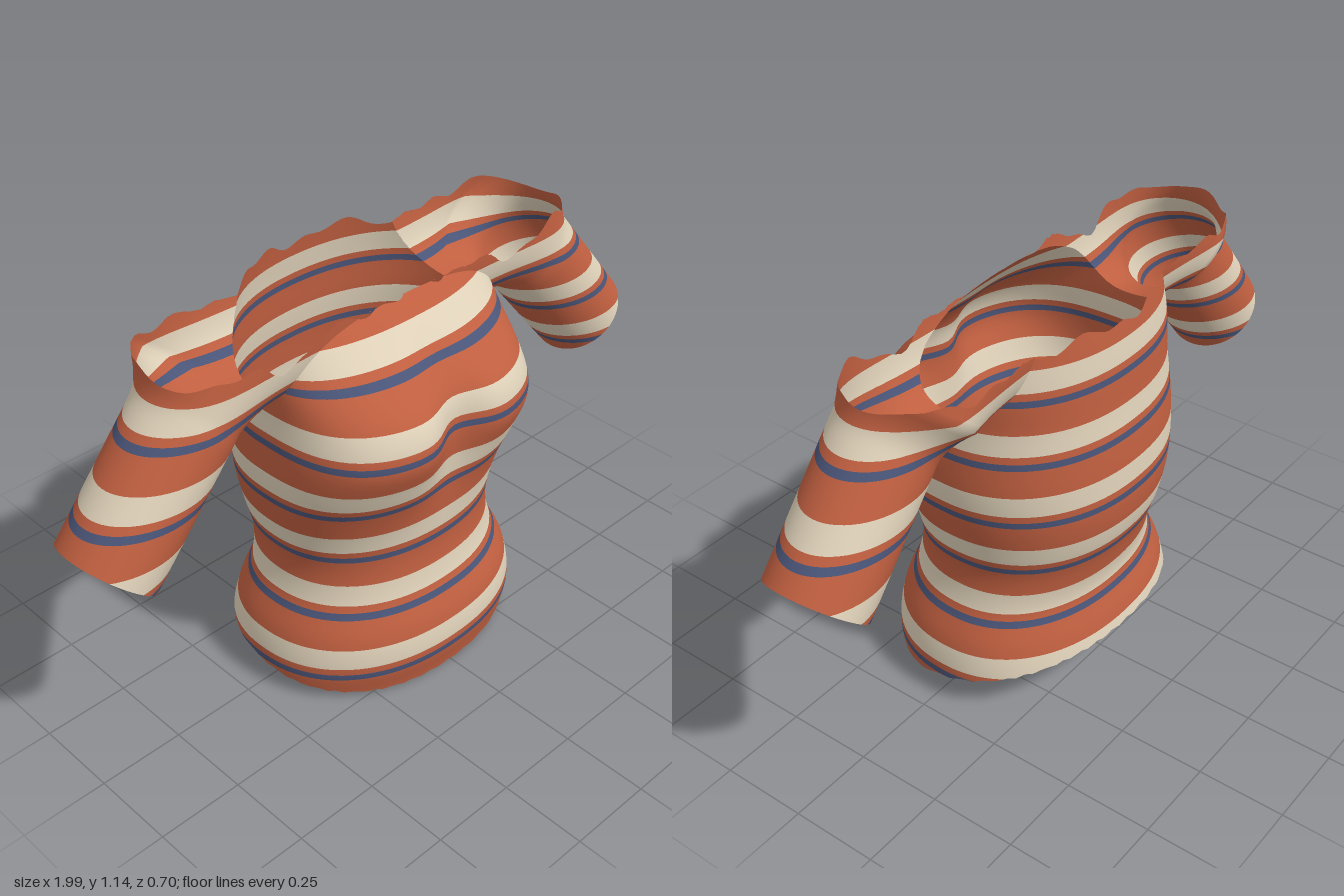
import * as THREE from 'three';

const cloth = (name, color) => {
  const m = new THREE.MeshStandardMaterial({ color, side: THREE.DoubleSide });
  m.name = name;
  return m;
};

// Torso sections every 0.1 in height: half width, front z, back z, front squareness, cleft depth
const SECTIONS = [
  [0.430, 0.310, -0.360, 2.2, 0], [0.436, 0.330, -0.350, 2.2, 0],
  [0.415, 0.318, -0.325, 2.2, 0], [0.368, 0.280, -0.295, 2.2, 0],
  [0.352, 0.264, -0.310, 2.2, 0], [0.370, 0.270, -0.340, 2.2, 0],
  [0.390, 0.288, -0.355, 2.4, 0.01], [0.400, 0.322, -0.352, 2.7, 0.035],
  [0.396, 0.354, -0.343, 2.9, 0.06], [0.385, 0.325, -0.330, 2.7, 0.045],
  [0.385, 0.222, -0.322, 2.4, 0.01], [0.370, 0.125, -0.308, 2.2, 0],
  [0.350, 0.035, -0.295, 2.2, 0],
];
const MID_Z = -0.02;

// Smooth interpolation between torso sections
function section(y) {
  const s = THREE.MathUtils.clamp(y * 10, 0, 11.999);
  const i = Math.floor(s), t = s - i;
  const at = (k) => SECTIONS[THREE.MathUtils.clamp(k, 0, 12)];
  return SECTIONS[0].map((_, c) => {
    const [a, b, d, e] = [at(i - 1)[c], at(i)[c], at(i + 1)[c], at(i + 2)[c]];
    return b + 0.5 * t * (d - a + t * (2 * a - 5 * b + 4 * d - e + t * (3 * (b - d) + e - a)));
  });
}

function torsoPoint(v, u) {
  const y = 1.2 * v, ang = u * Math.PI * 2;
  const [w, front, back, sq, cleft] = section(y);
  const c = Math.cos(ang), s = Math.sin(ang);
  const n = s > 0 ? sq : 2.2;
  const depth = s > 0 ? front - MID_Z : MID_Z - back;
  const r = (Math.abs(c / w) ** n + Math.abs(s / depth) ** n) ** (-1 / n);
  const x = r * c;
  const dip = s > 0 ? cleft * s * Math.exp(-((x / 0.09) ** 2)) : 0;
  return [x, y, MID_Z + r * s - dip];
}

// Positive outside the torso
function outsideTorso([x, y, z]) {
  const [w, front, back, sq] = section(y);
  const n = z > MID_Z ? sq : 2.2;
  const depth = z > MID_Z ? front - MID_Z : MID_Z - back;
  return Math.abs(x / w) ** n + Math.abs((z - MID_Z) / depth) ** n - 1;
}

// Sleeve: a straight tube from the cuff, flaring into the armpit
const CUFF = [0.888, 0.665, -0.03], DIR = [0.645, -0.765], ACROSS = [0.765, 0.645];
const flare = (t) => Math.max(0, t - 0.4) ** 2 * 4;
const sleeveSize = (t) => ({
  r: 0.14 + flare(t), front: 0.14 - Math.min(0.005, flare(t)), back: 0.14 + Math.min(0.06, flare(t) * 1.2),
});

const sleevePoint = (side) => (v, u) => {
  const t = v * 0.85, ang = u * Math.PI * 2;
  const { r, front, back } = sleeveSize(t);
  const a = r * Math.cos(ang), s = Math.sin(ang);
  return [
    side * (CUFF[0] - DIR[0] * t + ACROSS[0] * a),
    CUFF[1] - DIR[1] * t + ACROSS[1] * a,
    CUFF[2] + s * (s > 0 ? front : back),
  ];
};

// Positive outside either sleeve
function outsideSleeves([px, y, pz]) {
  const x = Math.abs(px) - CUFF[0], h = y - CUFF[1], z = pz - CUFF[2];
  const t = -(x * DIR[0] + h * DIR[1]);
  const { r, front, back } = sleeveSize(t);
  return Math.hypot((x * ACROSS[0] + h * ACROSS[1]) / r, z / (z > 0 ? front : back)) - 1;
}

// Ragged neckline and sloping hem
function belowNeck([x, y, z]) {
  const ax = Math.abs(x);
  const dip = (z > -0.05 ? 0.05 : 0.02) * Math.exp(-(((ax - 0.4) / 0.1) ** 2));
  const jag = 0.011 * Math.sin(23 * x + 5 * z) + 0.01 * Math.sin(47 * x - 19 * z + 1);
  return 1.128 - dip + jag - y;
}
const aboveHem = ([x, y, z]) =>
  y - (0.075 - 0.225 * z + 0.03 * z * z + 0.003 * Math.sin(90 * x + 70 * z));

// Keeps the part of a polygon where f is positive
function clip(poly, f) {
  const out = [], vals = poly.map(f);
  poly.forEach((p, i) => {
    const j = (i + 1) % poly.length, q = poly[j];
    if (vals[i] >= 0) out.push(p);
    if ((vals[i] >= 0) !== (vals[j] >= 0)) {
      const t = vals[i] / (vals[i] - vals[j]);
      out.push(p.map((a, k) => a + (q[k] - a) * t));
    }
  });
  return out;
}

// Repeating stripe: [start, end, material index] within one repeat
const REPEAT = 0.18;
const BANDS = [[0, 0.081, 0], [0.081, 0.1, 2], [0.1, 0.12, 0], [0.12, 0.18, 1]];

// Closed-ring surface, trimmed by the given rules and cut into stripes
function stripedSurface(name, point, rows, segs, rules, materials, flip = false) {
  const pos = [], index = [];
  for (let i = 0; i <= rows; i++)
    for (let j = 0; j < segs; j++) pos.push(...point(i / rows, j / segs));
  for (let i = 0; i < rows; i++)
    for (let j = 0; j < segs; j++) {
      const k = (j + 1) % segs;
      const a = i * segs + j, b = a + segs, c = i * segs + k, d = c + segs;
      index.push(...(flip ? [a, c, b, b, c, d] : [a, b, c, b, d, c]));
    }
  const base = new THREE.BufferGeometry();
  base.setAttribute('position', new THREE.Float32BufferAttribute(pos, 3));
  base.setIndex(index);
  base.computeVertexNormals();
  const nor = base.attributes.normal.array;
  const corner = (i) => [...pos.slice(i * 3, i * 3 + 3), ...nor.slice(i * 3, i * 3 + 3)];

  const buckets = materials.map(() => []);
  for (let i = 0; i < index.length; i += 3) {
    let poly = index.slice(i, i + 3).map(corner);
    for (const rule of rules) poly = clip(poly, rule);
    if (poly.length < 3) continue;
    const ys = poly.map((p) => p[1]);
    const low = Math.min(...ys), high = Math.max(...ys);
    for (let m = Math.floor(low / REPEAT); m * REPEAT <= high; m++)
      for (const [from, to, colour] of BANDS) {
        const y0 = m * REPEAT + from, y1 = m * REPEAT + to;
        if (y1 <= low || y0 >= high) continue;
        const piece = clip(clip(poly, (p) => p[1] - y0), (p) => y1 - p[1]);
        for (let k = 1; k + 1 < piece.length; k++) buckets[colour].push(piece[0], piece[k], piece[k + 1]);
      }
  }
  const all = buckets.flat();
  const geo = new THREE.BufferGeometry();
  geo.setAttribute('position', new THREE.Float32BufferAttribute(all.flatMap((p) => p.slice(0, 3)), 3));
  geo.setAttribute('normal', new THREE.Float32BufferAttribute(all.flatMap((p) => p.slice(3)), 3));
  let start = 0;
  buckets.forEach((b, k) => {
    geo.addGroup(start, b.length, k);
    start += b.length;
  });
  const mesh = new THREE.Mesh(geo, materials);
  mesh.name = name;
  return mesh;
}

export function createModel() {
  const materials = [cloth('rust', 0xc05f40), cloth('cream', 0xdfd1b9), cloth('blue', 0x4a5578)];
  const shirt = new THREE.Group();
  shirt.name = 'stripedShirt';
  shirt.add(stripedSurface('torso', torsoPoint, 72, 112, [belowNeck, aboveHem, outsideSleeves], materials));
  for (const side of [1, -1])
    shirt.add(stripedSurface(side > 0 ? 'leftSleeve' : 'rightSleeve', sleevePoint(side), 48, 56,
      [belowNeck, outsideTorso], materials, side < 0));
  return shirt;
}
